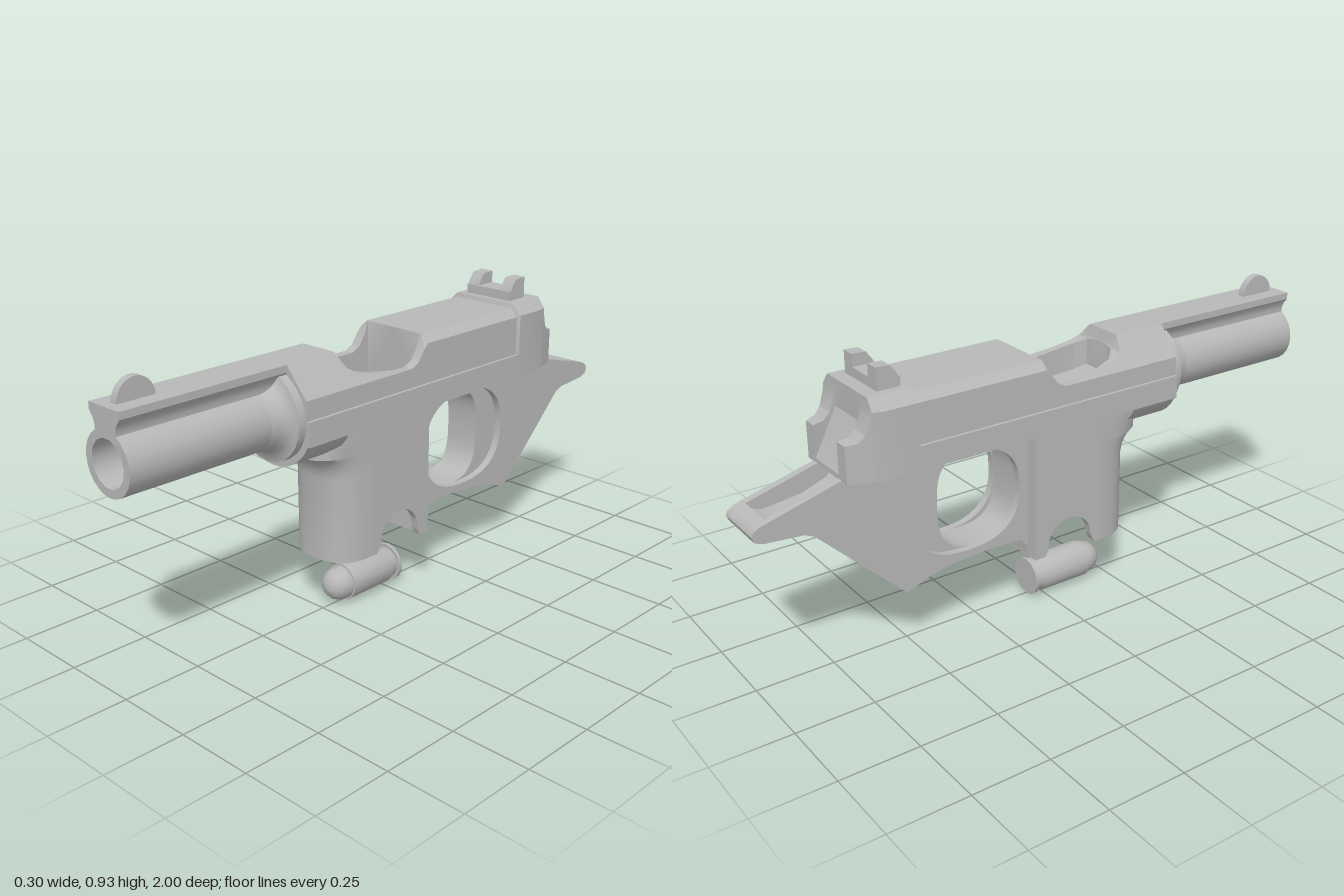
import * as THREE from 'three';
import { toCreasedNormals, mergeGeometries } from 'three/addons/utils/BufferGeometryUtils.js';

const steel = new THREE.MeshStandardMaterial({ color: 0xb8b8b8 });
steel.name = 'grey steel';

const V = (pts) => pts.map(([a, b]) => new THREE.Vector2(a, b));
const lerp = THREE.MathUtils.lerp;

// Solid through closed counter-clockwise sections [t, points], stacked along +z
function loft(sections) {
  const pos = [];
  const n = sections[0][1].length;
  const put = (s, i) => pos.push(s[1][i % n][0], s[1][i % n][1], s[0]);
  for (let k = 0; k < sections.length - 1; k++) {
    const a = sections[k], b = sections[k + 1];
    for (let i = 0; i < n; i++) {
      put(a, i); put(a, i + 1); put(b, i + 1);
      put(a, i); put(b, i + 1); put(b, i);
    }
  }
  const last = sections[sections.length - 1];
  for (const [p, q, r] of THREE.ShapeUtils.triangulateShape(V(sections[0][1]), [])) {
    put(sections[0], p); put(sections[0], r); put(sections[0], q);
  }
  for (const [p, q, r] of THREE.ShapeUtils.triangulateShape(V(last[1]), [])) {
    put(last, p); put(last, q); put(last, r);
  }
  const g = new THREE.BufferGeometry();
  g.setAttribute('position', new THREE.Float32BufferAttribute(pos, 3));
  return g;
}

// Front outline (x, y) extruded from z0 to z1
function alongZ(pts, z0, z1, hole) {
  const s = new THREE.Shape(V(pts));
  if (hole) s.holes.push(new THREE.Path(V(hole)));
  return new THREE.ExtrudeGeometry(s, { depth: z1 - z0, bevelEnabled: false }).translate(0, 0, z0);
}

// Side outline (z, y) extruded from x0 to x1
function alongX(pts, x0, x1, hole) {
  return alongZ(pts, 0, x1 - x0, hole).rotateY(-Math.PI / 2).translate(x1, 0, 0);
}

// Lathe around the z axis at height y, profile given as (radius, z)
function turned(profile, y, sides) {
  return new THREE.LatheGeometry(V(profile), sides).rotateX(Math.PI / 2).translate(0, y, 0);
}

// Rounded closed curve around a centre
function oval(cx, cy, rx, ry, power, n = 36) {
  return Array.from({ length: n }, (_, i) => {
    const a = (i / n) * Math.PI * 2, c = Math.cos(a), s = Math.sin(a);
    return [cx + rx * Math.sign(c) * Math.abs(c) ** (2 / power),
      cy + ry * Math.sign(s) * Math.abs(s) ** (2 / power)];
  });
}

// Slide section: stepped sides, sloped shoulders and an optional trough in the top
function slideSection([z, top, hw, w, floor]) {
  const front = z > 0.1;
  const rear = z < -0.505;
  const shoulder = front ? 0.76 : rear ? 0.83 : 0.825;
  const full = rear ? 0.865 : 0.85;
  const flat = front ? 0.065 : Math.min(0.115, hw - 0.01);
  const tw = top <= shoulder ? hw : lerp(hw, flat, (top - shoulder) / (full - shoulder));
  const base = z > -0.63 ? 0.152 : hw;
  const half = [[base, 0.625], [base, 0.7], [hw, 0.7], [hw, Math.min(shoulder, top)],
    [tw, top], [w, top], [w, w ? floor : top]];
  return [z, [...half, ...half.map(([x, y]) => [-x, y]).reverse()]];
}

// Grip front wall: C-shaped plan swelling forward at the top
function gripSection(y, swell) {
  const arc = (rx, front) => Array.from({ length: 15 }, (_, i) => {
    const a = (i / 14) * Math.PI, c = Math.cos(a);
    return [rx * Math.sign(c) * Math.abs(c) ** 0.75, -(0.15 + (front - 0.15) * Math.sin(a) ** 0.75)];
  });
  return [y, [...arc(0.125, 0.285 + swell).reverse(), ...arc(0.1, 0.255)]];
}

export function createModel() {
  const model = new THREE.Group();
  const add = (name, geometry, crease = 0.6) => {
    const flat = geometry.index ? geometry.toNonIndexed() : geometry;
    const mesh = new THREE.Mesh(toCreasedNormals(flat, crease), steel);
    mesh.name = name;
    model.add(mesh);
  };

  // Barrel with waisted top rib and blind bore
  const barrel = [];
  for (let i = 0; i <= 20; i++) {
    const a = THREE.MathUtils.degToRad(118 + (304 * i) / 20);
    barrel.push([0.095 * Math.cos(a), 0.695 + 0.095 * Math.sin(a)]);
  }
  const rib = [[0.045, 0.792], [0.051, 0.81], [0.065, 0.828], [0.065, 0.85]];
  barrel.push(...rib, ...rib.map(([x, y]) => [-x, y]).reverse());
  add('barrel', mergeGeometries([
    alongZ(barrel, 0.7, 1, oval(0, 0.695, 0.07, 0.07, 2, 14)),
    alongZ(barrel, 0.42, 0.7),
  ]));
  add('barrelCollar', turned([[0, 0.42], [0.14, 0.42], [0.14, 0.462], [0.122, 0.466],
    [0.108, 0.478], [0.099, 0.498], [0.094, 0.53]], 0.695, 24));

  // Slide with ejection port and open back, rows of z, top, half width, trough width, trough floor
  const rows = [
    [-0.725, 0.74, 0.115, 0.07, 0.64], [-0.69, 0.745, 0.128, 0.075, 0.7],
    [-0.67, 0.765, 0.135, 0.075, 0.74], [-0.655, 0.805, 0.14, 0.075, 0.77],
    [-0.65, 0.835, 0.142, 0.075, 0.78], [-0.649, 0.865, 0.142, 0, 0],
    [-0.62, 0.865, 0.152, 0, 0], [-0.51, 0.865, 0.152, 0, 0],
    [-0.505, 0.85, 0.142, 0, 0], [-0.071, 0.85, 0.142, 0, 0],
    [-0.07, 0.85, 0.142, 0.11, 0.68], [-0.055, 0.81, 0.142, 0.11, 0.68],
    [-0.03, 0.775, 0.142, 0.11, 0.68], [0, 0.76, 0.142, 0.11, 0.68],
    [0.05, 0.76, 0.142, 0.11, 0.68], [0.15, 0.775, 0.142, 0.103, 0.69],
    [0.205, 0.788, 0.142, 0.09, 0.7], [0.235, 0.805, 0.142, 0.06, 0.72],
    [0.241, 0.815, 0.142, 0, 0], [0.25, 0.85, 0.142, 0, 0], [0.435, 0.85, 0.142, 0, 0],
  ];
  add('slide', loft(rows.map(slideSection)), 0.4);

  // Sights
  add('frontSight', alongX(Array.from({ length: 17 }, (_, i) => {
    const a = (i / 16) * Math.PI;
    return [0.907 + 0.062 * Math.cos(a), 0.848 + 0.065 * Math.sin(a)];
  }), -0.012, 0.012));
  add('rearSightBase', alongX([[-0.605, 0.86], [-0.53, 0.86], [-0.53, 0.895], [-0.605, 0.895]], -0.09, 0.09));
  const ear = [[-0.605, 0.89], [-0.535, 0.89], [-0.54, 0.905], [-0.56, 0.932], [-0.605, 0.934]];
  for (const x of [-0.09, 0.045]) add(x > 0 ? 'rearSightLeft' : 'rearSightRight', alongX(ear, x, x + 0.045));

  // Round underside below the slide front
  add('dustCover', alongZ(Array.from({ length: 17 }, (_, i) => {
    const a = THREE.MathUtils.degToRad(-154 + 8 * i);
    return [0.16 * Math.cos(a), 0.695 + 0.16 * Math.sin(a)];
  }), 0.27, 0.435));

  // Hollow grip: rounded front, arched side walls, back wall
  const gripRows = [[0.19, 0], [0.46, 0], [0.485, 0.006], [0.508, 0.02], [0.525, 0.038], [0.536, 0.06], [0.63, 0.06]];
  add('gripFront', loft(gripRows.map(([y, s]) => gripSection(y, s))).rotateX(-Math.PI / 2));
  const wall = [[-0.1, 0.63], [-0.1, 0.195], [-0.06, 0.195], [-0.053, 0.21]];
  for (let i = 0; i <= 12; i++) {
    const a = Math.PI - (i / 12) * Math.PI;
    wall.push([0.033 + 0.083 * Math.cos(a), 0.228 + 0.078 * Math.sin(a)]);
  }
  wall.push([0.123, 0.205], [0.135, 0.19], [0.155, 0.19], [0.155, 0.63]);
  add('gripWallLeft', alongX(wall, 0.1, 0.125));
  add('gripWallRight', alongX(wall, -0.125, -0.1));
  add('gripBack', alongX([[-0.1, 0.195], [-0.065, 0.195], [-0.065, 0.63], [-0.1, 0.63]], -0.124, 0.124));

  // Rear frame: side plates with the finger opening
  const plate = [[-0.08, 0.63], [-0.08, 0.2], [-0.1, 0.2], [-0.104, 0.235], [-0.13, 0.26],
    [-0.25, 0.264], [-0.38, 0.255], [-0.46, 0.238], [-0.537, 0.21], [-0.82, 0.485], [-0.85, 0.498],
    [-0.97, 0.508], [-0.994, 0.518], [-1, 0.535], [-0.994, 0.548], [-0.975, 0.56], [-0.725, 0.628]];
  const opening = oval(-0.32, 0.445, 0.19, 0.16, 2.5);
  add('framePlateLeft', alongX(plate, 0.06, 0.085, opening));
  add('framePlateRight', alongX(plate, -0.085, -0.06, opening));

  // Frame core: hollowed underside, web behind the opening and channel in the tang
  const core = [[-0.08, 0.63], [-0.08, 0.2], [-0.1, 0.2], [-0.104, 0.245], [-0.13, 0.27],
    [-0.25, 0.275], [-0.38, 0.27], [-0.46, 0.262], [-0.545, 0.245], [-0.82, 0.49], [-0.85, 0.498],
    [-0.97, 0.508], [-0.994, 0.518], [-1, 0.535], [-0.994, 0.548], [-0.975, 0.56], [-0.95, 0.567],
    [-0.935, 0.545], [-0.9, 0.535], [-0.78, 0.55], [-0.7, 0.58], [-0.66, 0.63]];
  add('frameCore', alongX(core, -0.06, 0.06, oval(-0.27, 0.445, 0.14, 0.16, 3)));

  // Loose cartridge
  add('cartridge', turned([[0, -0.048], [0.062, -0.048], [0.062, -0.038], [0.05, -0.038],
    [0.05, -0.03], [0.06, -0.004], [0.06, 0.165], [0.054, 0.165], [0.053, 0.185], [0.046, 0.207],
    [0.032, 0.222], [0.015, 0.23], [0, 0.232]], 0.065, 14));

  return model;
}
